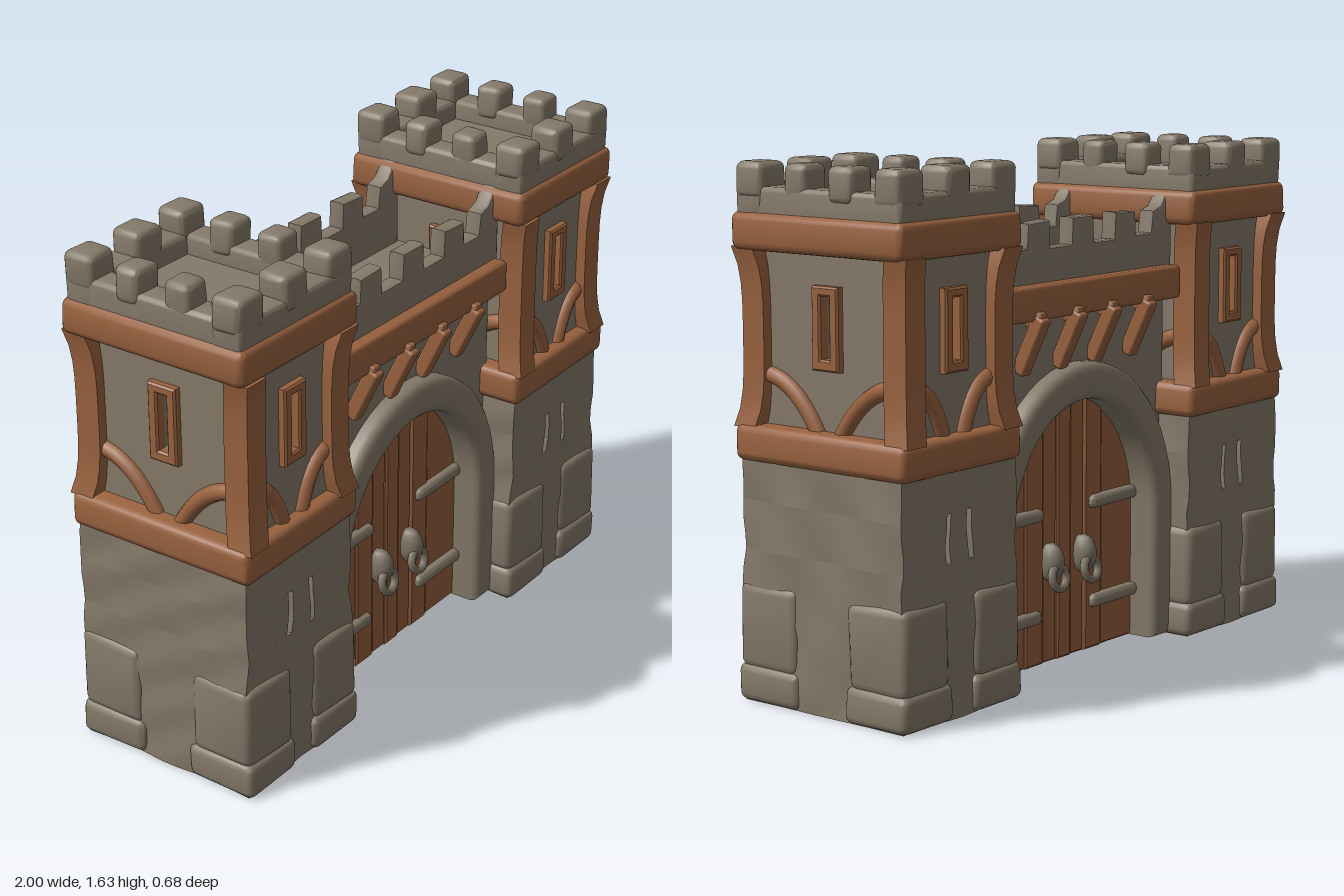
import * as THREE from 'three';
import { toCreasedNormals } from 'three/addons/utils/BufferGeometryUtils.js';
import { RoundedBoxGeometry } from 'three/addons/geometries/RoundedBoxGeometry.js';

const flat = (name, color) => {
  const m = new THREE.MeshStandardMaterial({ color });
  m.name = name;
  return m;
};

export function createModel() {
  const stone = flat('stone', 0x857a6a);
  const wood = flat('timber', 0x99623f);
  const doorWood = flat('doorWood', 0x935e3b);
  const iron = flat('iron', 0x7b7264);
  const model = new THREE.Group();
  model.name = 'gatehouse';

  const add = (parent, name, geo, mat, x = 0, y = 0, z = 0) => {
    const mesh = new THREE.Mesh(geo, mat);
    mesh.name = name;
    mesh.position.set(x, y, z);
    parent.add(mesh);
    return mesh;
  };

  // Gentle hand-hewn waviness, a smooth function of position
  const rough = (geo, amp, ox = 0, oy = 0, oz = 0) => {
    const p = geo.attributes.position;
    for (let i = 0; i < p.count; i++) {
      const x = p.getX(i) + ox, y = p.getY(i) + oy, z = p.getZ(i) + oz;
      const a = Math.sin(17 * x + 23 * y + 2) * Math.cos(19 * z - 13 * y);
      const b = Math.sin(21 * z + 16 * y + 5) * Math.cos(18 * x + 11 * y);
      p.setX(i, p.getX(i) + amp * a);
      p.setZ(i, p.getZ(i) + amp * b);
    }
    return toCreasedNormals(geo, 0.8);
  };

  // Axis-aligned block between two corners: rounded, or finely divided when r = 0
  const block = (parent, name, mat, [x0, x1], [y0, y1], [z0, z1], r = 0.015, amp = 0.004) => {
    const w = x1 - x0, h = y1 - y0, d = z1 - z0;
    const n = (s) => Math.max(1, Math.round(s / 0.05));
    const c = [(x0 + x1) / 2, (y0 + y1) / 2, (z0 + z1) / 2];
    const geo = r ? new RoundedBoxGeometry(w, h, d, 2, r)
      : new THREE.BoxGeometry(w, h, d, n(w), n(h), n(d));
    return add(parent, name, rough(geo, amp, ...c), mat, ...c);
  };

  // Extrusion centred on z with an inward bevel
  const slab = (shape, depth, bevel = 0.008, segs = 1) => {
    const g = new THREE.ExtrudeGeometry(shape, {
      depth: depth - 2 * bevel, curveSegments: 20, bevelEnabled: bevel > 0,
      bevelSize: bevel, bevelThickness: bevel, bevelOffset: -bevel, bevelSegments: segs });
    g.translate(0, 0, bevel - depth / 2);
    return toCreasedNormals(g, 0.7);
  };
  const rect = (w, y0, y1, Type = THREE.Shape) => new Type([[-w, y0], [w, y0], [w, y1], [-w, y1]]
    .map(([x, y]) => new THREE.Vector2(x, y)));

  // Arch outline points from x0 to x1 on a half ellipse above the spring line
  const SPRING = 0.45;
  const archTop = (w, h, x0, x1, n = 24) => Array.from({ length: n + 1 }, (_, i) => {
    const full = x0 === -w && x1 === w;
    const x = full ? -w * Math.cos(Math.PI * i / n) : x0 + (x1 - x0) * i / n;
    return new THREE.Vector2(x, SPRING + h * Math.sqrt(Math.max(0, 1 - (x / w) ** 2)));
  });

  // One face of the timbered upper storey: panel, window frame and curved braces
  const storeyFace = (w, dist, angle) => {
    const face = new THREE.Group();
    face.name = 'storeyFace';
    face.rotation.y = angle;
    const panel = rect(w + 0.04, 0.82, 1.4);
    panel.holes.push(rect(0.018, 1.065, 1.25, THREE.Path));
    add(face, 'panel', slab(panel, 0.03, 0), stone, 0, 0, dist - 0.015);
    const frame = rect(0.052, 1.03, 1.28);
    frame.holes.push(rect(0.017, 1.065, 1.25, THREE.Path));
    add(face, 'windowFrame', slab(frame, 0.04, 0.006), wood, 0, 0, dist + 0.005);
    for (const s of [-1, 1]) {
      const path = new THREE.QuadraticBezierCurve3(
        new THREE.Vector3(s * (w + 0.01), 1.0, 0),
        new THREE.Vector3(s * w * 0.55, 0.99, 0),
        new THREE.Vector3(s * 0.045, 0.84, 0));
      add(face, 'brace', new THREE.TubeGeometry(path, 10, 0.026, 8), wood, 0, 0, dist);
    }
    return face;
  };

  const makeTower = (side) => {
    const t = new THREE.Group();
    t.name = side > 0 ? 'leftTower' : 'rightTower';
    t.position.x = side * 0.72;
    // Lower masonry with arrow slits running through it
    const Z = [-0.315, 0.315];
    block(t, 'baseWall', stone, [-0.26, 0.26], [0, 0.47], Z, 0, 0.008);
    for (const x of [[-0.26, -0.06], [-0.04, 0.04], [0.06, 0.26]])
      block(t, 'slitWall', stone, x, [0.47, 0.62], Z, 0, 0.008);
    block(t, 'upperWall', stone, [-0.26, 0.26], [0.62, 0.76], Z, 0, 0.008);
    // Corner stones
    for (const sx of [-1, 1]) for (const sz of [-1, 1]) {
      const span = (s, a, b) => (s > 0 ? [a, b] : [-b, -a]);
      block(t, 'footStone', stone, span(sx, 0.05, 0.275), [0, 0.115], span(sz, 0.09, 0.335), 0.025);
      block(t, 'cornerStone', stone, span(sx, 0.06, 0.27), [0.1, 0.37], span(sz, 0.1, 0.33), 0.03, 0.006);
      // Corner posts, flaring toward both ends
      const g = new THREE.BoxGeometry(0.085, 0.54, 0.085, 1, 10, 1);
      const p = g.attributes.position;
      for (let i = 0; i < p.count; i++) {
        const k = 0.022 * (p.getY(i) / 0.27) ** 4;
        p.setX(i, p.getX(i) + sx * k);
        p.setZ(i, p.getZ(i) + sz * k);
      }
      add(t, 'cornerPost', toCreasedNormals(g, 0.7), wood, sx * 0.2, 1.11, sz * 0.277);
    }
    // Timber bands
    block(t, 'lowerBand', wood, [-0.275, 0.275], [0.74, 0.85], [-0.335, 0.335], 0.025);
    block(t, 'upperBand', wood, [-0.275, 0.275], [1.37, 1.485], [-0.335, 0.335], 0.025);
    [[0.165, 0.285, 0], [0.24, 0.21, 1], [0.165, 0.285, 2], [0.24, 0.21, 3]]
      .forEach(([w, d, q]) => t.add(storeyFace(w, d, q * Math.PI / 2)));
    // Roof floor, parapet and merlons
    block(t, 'roofFloor', stone, [-0.2, 0.2], [1.46, 1.495], [-0.25, 0.25], 0, 0);
    for (const s of [-1, 1]) {
      const x = s * 0.213, z = s * 0.268;
      block(t, 'parapet', stone, [-0.262, 0.262], [1.46, 1.56], [z - 0.052, z + 0.052]);
      block(t, 'parapet', stone, [x - 0.048, x + 0.048], [1.46, 1.56], [-0.315, 0.315]);
      for (const m of [-0.208, 0, 0.208])
        block(t, 'merlon', stone, [m - 0.057, m + 0.057], [1.52, 1.632], [z - 0.054, z + 0.054], 0.022);
      for (const m of [-0.09, 0.09])
        block(t, 'merlon', stone, [x - 0.05, x + 0.05], [1.52, 1.632], [m - 0.046, m + 0.046], 0.022);
    }
    return t;
  };
  model.add(makeTower(1), makeTower(-1));

  // Gate wall with an arched opening
  const gate = new THREE.Group();
  gate.name = 'gate';
  model.add(gate);
  const wall = rect(0.48, 0, 1.2);
  // The opening runs to the ground, so the outline itself follows the arch
  const outline = (w, h, ow, top) => new THREE.Shape([
    new THREE.Vector2(-ow, 0), new THREE.Vector2(-w, 0), ...archTop(w, h, -w, w),
    new THREE.Vector2(w, 0), new THREE.Vector2(ow, 0), ...top]);
  add(gate, 'gateWall', slab(outline(0.4, 0.43, 0.48, wall.getPoints().slice(2, 4)), 0.38, 0), stone);
  add(gate, 'archRing', slab(outline(0.37, 0.4, 0.475,
    archTop(0.475, 0.52, -0.475, 0.475).reverse()), 0.5, 0.03, 3), stone);

  // Plank doors
  const edges = [-0.385, -0.2, -0.11, -0.035, 0.035, 0.11, 0.2, 0.385];
  for (let i = 0; i < edges.length - 1; i++) {
    const [a, b] = [edges[i], edges[i + 1]];
    const plank = new THREE.Shape([new THREE.Vector2(b, 0), ...archTop(0.39, 0.42, a, b, 10).reverse(),
      new THREE.Vector2(a, 0)]);
    add(gate, 'doorPlank', slab(plank, 0.29 + 0.012 * (i % 2), 0.006), doorWood);
  }

  // Parapet profile, stepping up to the towers at both ends
  const half = [[0.055, 1.43], [0.06, 1.345], [0.165, 1.345], [0.17, 1.43], [0.28, 1.425],
    [0.285, 1.35], [0.365, 1.35], [0.375, 1.42], [0.42, 1.435], [0.46, 1.485], [0.48, 1.485], [0.48, 1.18]];
  const crenel = new THREE.Shape([...half, ...half.map(([x, y]) => [-x, y]).reverse()]
    .map(([x, y]) => new THREE.Vector2(x, y)));

  for (const s of [-1, 1]) {
    const side = new THREE.Group();
    side.name = s > 0 ? 'gateFront' : 'gateBack';
    side.rotation.y = s > 0 ? 0 : Math.PI;
    gate.add(side);
    add(side, 'gateParapet', slab(crenel, 0.06, 0.012, 2), stone, 0, 0, 0.195);
    block(side, 'gateBeam', wood, [-0.47, 0.47], [1.13, 1.24], [0.17, 0.267], 0.015);
    for (const x of [-0.28, -0.09, 0.09, 0.28]) {
      const strut = add(side, 'beamStrut', new RoundedBoxGeometry(0.045, 0.2, 0.05, 2, 0.01), wood, x, 1.055, 0.235);
      strut.rotation.x = 0.45;
      block(side, 'beamEnd', wood, [x - 0.02, x + 0.02], [1.11, 1.16], [0.22, 0.285], 0.01, 0);
    }
    for (const m of [-1, 1]) {
      // Hinge straps
      for (const y of [0.16, 0.49]) {
        block(side, 'hinge', stone, m > 0 ? [0.13, 0.38] : [-0.38, -0.13],
          [y - 0.022, y + 0.022], [0.12, 0.172], 0.018, 0.003);
      }
      // Knockers: a lumpy boss with a hanging ring
      const boss = add(side, 'knockerBoss', rough(new THREE.IcosahedronGeometry(0.05, 2), 0.006), iron, m * 0.085, 0.33, 0.165);
      boss.scale.set(0.75, 1.3, 0.9);
      const ring = add(side, 'knockerRing', new THREE.TorusGeometry(0.036, 0.014, 8, 16), iron, m * 0.085, 0.285, 0.195);
      ring.rotation.x = -0.2;
    }
  }
  return model;
}
